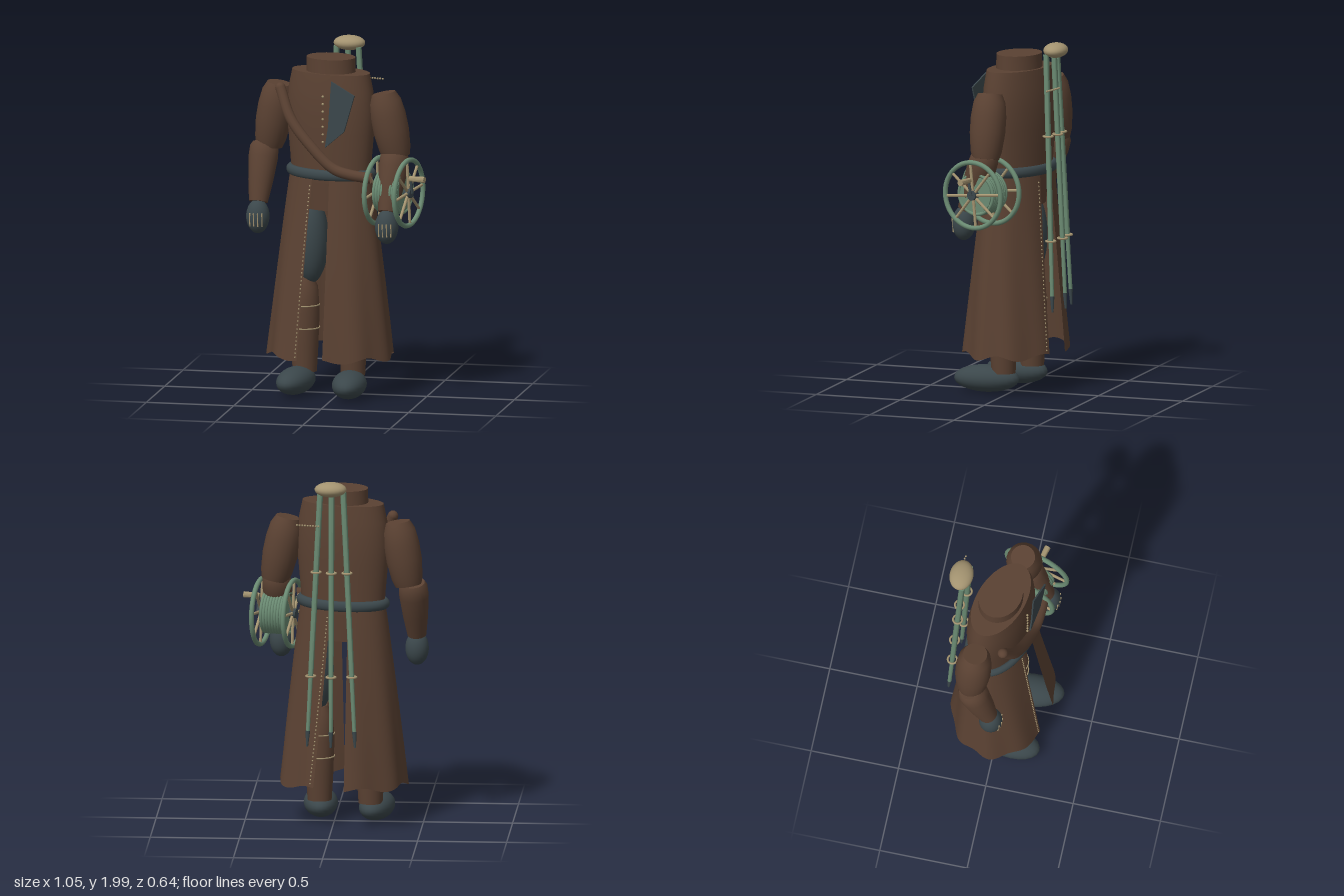
import * as THREE from 'three';
import { toCreasedNormals } from 'three/addons/utils/BufferGeometryUtils.js';

const paint = (name, color, side = THREE.FrontSide) => {
  const m = new THREE.MeshStandardMaterial({ color, side });
  m.name = name;
  return m;
};
const V = (x, y, z) => new THREE.Vector3(x, y, z);

export function createModel() {
  const root = new THREE.Group();
  root.name = 'coatedFigure';
  const coat = paint('coat brown', 0x5a4132, THREE.DoubleSide);
  const slate = paint('slate leather', 0x3b474b);
  const green = paint('weathered green', 0x6a8a72);
  const tan = paint('pale wood', 0xa39370);
  const YAW = 0.33, CX = -0.05, CZ = -0.01;

  const add = (name, geo, mat, parent = root) => {
    const m = new THREE.Mesh(geo, mat);
    m.name = name;
    parent.add(m);
    return m;
  };
  const lathe = (pts, seg = 32) =>
    toCreasedNormals(new THREE.LatheGeometry(pts.map(p => new THREE.Vector2(...p)), seg), 0.7);
  // Solid of revolution between two points; radii are [radius, fraction along]
  const limb = (name, a, b, radii, mat, parent = root, seg = 24) => {
    const d = b.clone().sub(a), len = d.length();
    const m = add(name, lathe(radii.map(([r, t]) => [r, t * len]), seg), mat, parent);
    m.position.copy(a);
    m.quaternion.setFromUnitVectors(V(0, 1, 0), d.normalize());
    return m;
  };
  const rod = (name, a, b, r0, r1, mat, parent = root) =>
    limb(name, a, b, [[0, 0], [r0, 0], [r1, 1], [0, 1]], mat, parent, 12);
  const ball = (name, p, s, mat, parent = root, seg = 24) => {
    const m = add(name, new THREE.SphereGeometry(1, seg, Math.ceil(seg * 0.66)), mat, parent);
    m.position.copy(p);
    m.scale.set(...s);
    return m;
  };
  const bead = (name, p, r = 0.006) => ball(name, p, [r, r, r], tan, root, 8);

  // Torso, collar and hips, turned slightly to the figure's right
  const body = (name, pts, flat) => {
    const m = add(name, lathe(pts, 48), coat);
    m.position.set(CX, 0, CZ);
    m.rotation.y = -YAW;
    m.scale.z = flat;
    return m;
  };
  body('torso', [[0, 1.22], [0.242, 1.22], [0.252, 1.35], [0.266, 1.5], [0.272, 1.62],
    [0.262, 1.74], [0.24, 1.84], [0, 1.84]], 0.56);
  body('collar', [[0, 1.82], [0.145, 1.82], [0.143, 1.92], [0, 1.92]], 0.82);
  body('hips', [[0, 1.06], [0.19, 1.06], [0.215, 1.25], [0, 1.25]], 0.6);

  // Belt
  const belt = add('belt', new THREE.TorusGeometry(0.244, 0.03, 12, 64).rotateX(Math.PI / 2), slate);
  belt.position.set(CX, 1.27, CZ);
  belt.rotation.y = -YAW;
  belt.scale.z = 0.63;

  // Coat skirt: point on the flared surface at height fraction t and angle f
  const mix = THREE.MathUtils.lerp;
  const skirtPoint = (t, f) => {
    const wave = 1 + 0.025 * t * Math.cos(9 * f);
    const a = mix(0.248, 0.362, t ** 0.9) * wave, b = mix(0.157, 0.278, t) * wave;
    const yaw = mix(YAW, 0.15, t), x = a * Math.sin(f), z = b * Math.cos(f);
    return V(CX + x * Math.cos(yaw) - z * Math.sin(yaw),
      mix(1.265, 0.235 + 0.015 * Math.cos(7 * f), t),
      mix(CZ, 0.005, t) + x * Math.sin(yaw) + z * Math.cos(yaw));
  };
  const skirtPanel = (name, top, hem) => {
    const N = 40, M = 14, pos = [], idx = [];
    for (let j = 0; j <= M; j++) for (let i = 0; i <= N; i++) {
      const t = j / M;
      const f = mix(mix(top[0], hem[0], t), mix(top[1], hem[1], t), i / N);
      pos.push(...skirtPoint(t, f).toArray());
      if (i < N && j < M) {
        const k = j * (N + 1) + i;
        idx.push(k, k + N + 1, k + 1, k + 1, k + N + 1, k + N + 2);
      }
    }
    const g = new THREE.BufferGeometry();
    g.setAttribute('position', new THREE.Float32BufferAttribute(pos, 3));
    g.setIndex(idx);
    g.computeVertexNormals();
    add(name, g, coat);
  };
  skirtPanel('leftSkirt', [0.31, 3.1], [0.145, 2.83]);
  skirtPanel('rightSkirt', [-2.78, -0.12], [-2.97, -0.305]);

  // Stitched studs along the skirt edges
  for (let i = 0; i < 44; i++) {
    const t = 0.06 + 0.92 * i / 43;
    bead('frontStitch', skirtPoint(t, mix(-0.16, -0.345, t)), 0.005);
    bead('backStitch', skirtPoint(t, mix(3.04, 2.77, t)), 0.005);
  }

  // Legs and boots
  for (const [side, x, z, yaw] of [['left', 0.085, 0.035, 0.08], ['right', -0.205, -0.03, -0.15]]) {
    const knee = V(x, 0.66, z), ankle = V(x, 0.12, z);
    ball(side + 'Thigh', V(x + (x < 0 ? 0.035 : 0.02), 0.87, z), [0.1, 0.25, 0.1], slate);
    limb(side + 'Shin', ankle, knee, [[0, 0], [0.068, 0], [0.076, 0.25], [0.084, 0.65],
      [0.074, 0.9], [0.045, 1], [0, 1]], coat);
    for (const y of [0.37, 0.5]) {
      const ring = add(side + 'ShinBand', new THREE.TorusGeometry(0.083, 0.004, 6, 32), tan);
      ring.position.set(x, y, z);
      ring.rotation.x = Math.PI / 2;
    }
    const boot = ball(side + 'Boot', V(x < 0 ? -0.235 : x, 0.083, z + 0.1),
      [0.096, 0.077, 0.188], slate);
    boot.rotation.y = yaw;
  }

  // Arms and gloves
  const arms = [
    ['right', V(-0.362, 1.745, -0.09), V(-0.422, 1.385, -0.1), V(-0.448, 1.4, -0.1),
      V(-0.463, 1.08, 0.005), V(-0.463, 1.0, 0.02)],
    ['left', V(0.262, 1.735, 0.05), V(0.338, 1.375, 0.05), V(0.33, 1.4, 0.05),
      V(0.31, 1.08, 0.17), V(0.31, 1.0, 0.19)],
  ];
  for (const [side, shoulder, low, elbow, wrist, palm] of arms) {
    limb(side + 'UpperArm', low, shoulder, [[0, 0], [0.075, 0], [0.088, 0.12], [0.1, 0.4],
      [0.1, 0.65], [0.09, 0.87], [0.068, 1], [0, 1]], coat);
    limb(side + 'Forearm', wrist, elbow, [[0, 0], [0.053, 0], [0.07, 0.35], [0.083, 0.75],
      [0.08, 0.93], [0.066, 1], [0, 1]], coat);
    ball(side + 'Glove', palm, [0.066, 0.097, 0.066], slate);
    for (let i = 0; i < 4; i++) {
      const dx = (i - 1.5) * 0.023, dz = Math.sqrt(0.066 ** 2 - dx * dx);
      rod(side + 'FingerRib', palm.clone().add(V(dx, -0.05, dz * 0.87)),
        palm.clone().add(V(dx, 0.025, dz)), 0.004, 0.004, tan);
    }
  }

  // Shoulder strap
  const strapPath = new THREE.CatmullRomCurve3([V(-0.325, 1.745, 0.06), V(-0.255, 1.58, 0.11),
    V(-0.14, 1.44, 0.145), V(0, 1.315, 0.17), V(0.1, 1.285, 0.18), V(0.22, 1.27, 0.18)]);
  add('shoulderStrap', new THREE.TubeGeometry(strapPath, 40, 0.03, 12), coat);
  ball('strapEnd', V(-0.325, 1.745, 0.06), [0.03, 0.03, 0.03], coat, root, 12);

  // Chest flap and buttons
  const flap = new THREE.Shape([[-0.01, 1.81], [-0.03, 1.55], [-0.05, 1.43], [0.07, 1.53],
    [0.135, 1.74]].map(p => new THREE.Vector2(...p)));
  const flapMesh = add('chestFlap',
    new THREE.ExtrudeGeometry(flap, { depth: 0.009, bevelEnabled: false }), slate);
  flapMesh.position.z = 0.165;
  flapMesh.rotation.y = -0.27;
  for (let i = 0; i < 7; i++) bead('button', V(-0.065, 1.46 + i * 0.043, 0.145), 0.007);

  // Cable reel: built along local x, then turned
  const reel = new THREE.Group();
  reel.name = 'cableReel';
  reel.position.set(0.325, 1.18, 0.075);
  reel.rotation.y = -0.24;
  root.add(reel);
  const hoop = (name, x, r, tube, mat) => {
    const m = add(name, new THREE.TorusGeometry(r, tube, 10, 48).rotateY(Math.PI / 2), mat, reel);
    m.position.x = x;
  };
  for (const x of [-0.093, 0.093]) {
    hoop('reelRim', x, 0.186, 0.014, green);
    for (let i = 0; i < 8; i++) {
      const a = i * Math.PI / 4 + 0.1;
      rod('reelSpoke', V(x, 0, 0), V(x, 0.186 * Math.cos(a), 0.186 * Math.sin(a)), 0.009, 0.008, tan, reel);
    }
    rod('reelHub', V(x - 0.02, 0, 0), V(x + 0.02, 0, 0), 0.028, 0.028, slate, reel);
  }
  rod('reelDrum', V(-0.075, 0, 0), V(0.07, 0, 0), 0.105, 0.105, green, reel);
  for (let i = 0; i < 9; i++) hoop('cableCoil', -0.07 + i * 0.0165, 0.113, 0.0095, green);
  rod('crankArm', V(0.115, 0, 0), V(0.115, 0.085, 0.015), 0.009, 0.008, slate, reel);
  rod('crankHandle', V(0.108, 0.085, 0.015), V(0.2, 0.085, 0.015), 0.015, 0.018, tan, reel);

  // Folded tripod on the back
  ball('tripodHead', V(0.005, 1.958, -0.247), [0.09, 0.042, 0.067], tan);
  const legs = [[0.065, -0.212, 0.135, -0.275], [0, -0.235, 0, -0.305], [-0.065, -0.23, -0.135, -0.29]];
  for (const [x0, z0, x1, z1] of legs) {
    const top = V(x0, 1.94, z0), foot = V(x1, 0.49, z1);
    const at = y => top.clone().lerp(foot, (1.94 - y) / 1.45);
    rod('tripodLeg', at(0.9), top, 0.015, 0.017, green);
    rod('tripodLowerLeg', at(0.57), at(0.92), 0.011, 0.013, green);
    rod('tripodSpike', foot, at(0.58), 0.006, 0.013, slate);
    for (const y of [1.48, 0.89]) {
      const ring = add('tripodClamp', new THREE.TorusGeometry(0.026, 0.006, 8, 24), tan);
      ring.position.copy(at(y));
      ring.rotation.x = Math.PI / 2;
    }
  }
  // Small bead chain beside the tripod
  for (let i = 0; i < 9; i++)
    bead('chainBead', V(0.07 + i * 0.0153, 1.755, -0.29 + i * 0.0035), 0.006);

  return root;
}
